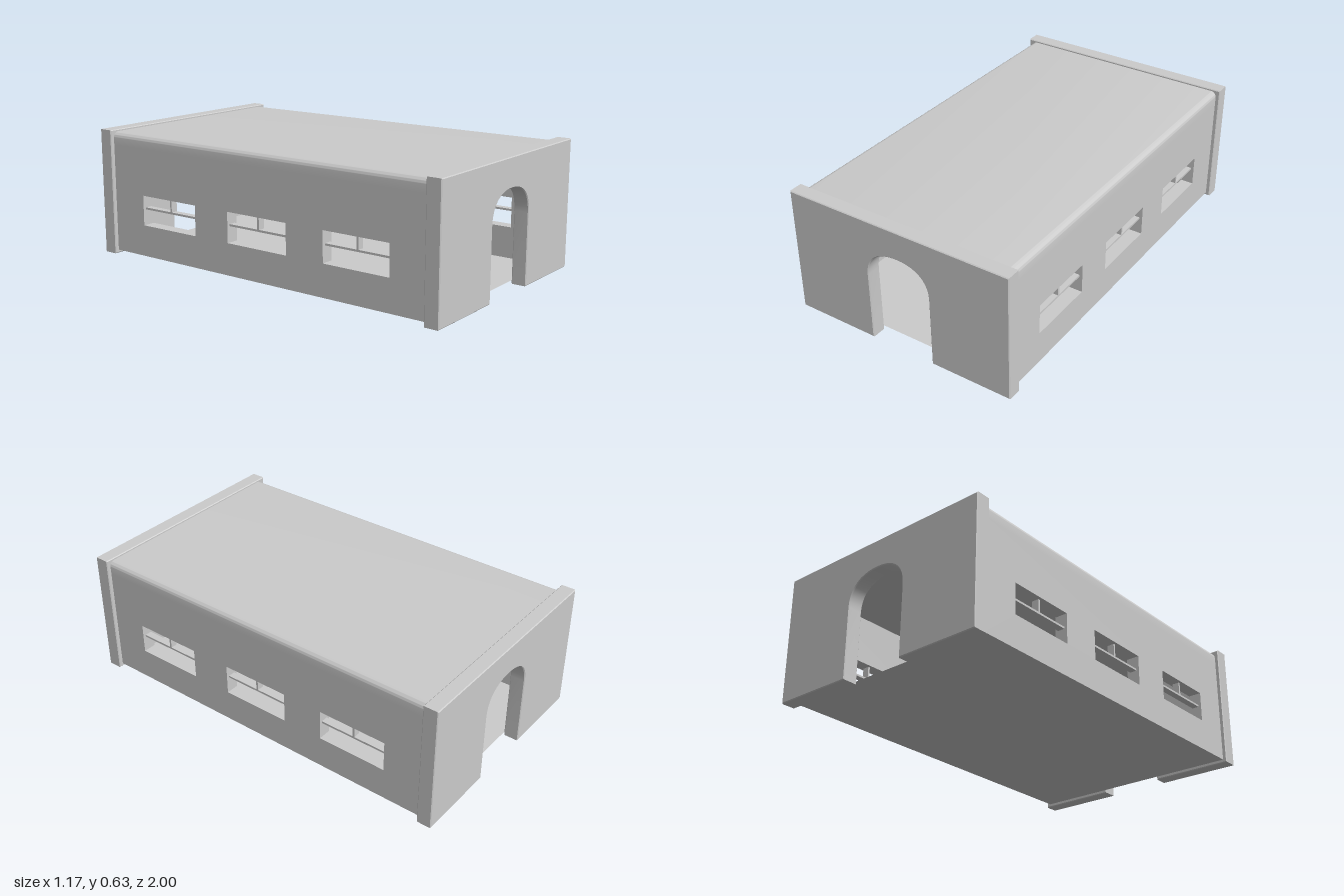
import * as THREE from 'three';
import { toCreasedNormals } from 'three/addons/utils/BufferGeometryUtils.js';

const grey = new THREE.MeshStandardMaterial({ color: 0xcccccc });

// Main sizes
const HALF_W = 0.565, WALL = 0.065, BASE = 0.016, CEILING = 0.56, ROOF = 0.625, HALF_L = 0.926;
const END_W = 0.585, END_H = 0.635, END_T = 0.074;

function part(name, geometry, parent) {
  const mesh = new THREE.Mesh(geometry, grey);
  mesh.name = name;
  parent.add(mesh);
  return mesh;
}

function rectPath(x0, x1, y0, y1, PathType = THREE.Path) {
  const p = new PathType();
  p.moveTo(x0, y0).lineTo(x1, y0).lineTo(x1, y1).lineTo(x0, y1).lineTo(x0, y0);
  return p;
}

// End wall with an arched doorway open at the bottom
function endWallGeometry() {
  const left = -0.16, right = 0.172, mid = 0.006, spring = 0.35, top = 0.493;
  const s = new THREE.Shape();
  s.moveTo(-END_W, 0);
  s.lineTo(left, 0);
  s.lineTo(left, spring);
  s.bezierCurveTo(left, 0.45, -0.09, top, mid, top);
  s.bezierCurveTo(0.102, top, right, 0.45, right, spring);
  s.lineTo(right, 0);
  s.lineTo(END_W, 0);
  s.lineTo(END_W, END_H);
  s.lineTo(-END_W, END_H);
  s.closePath();
  const bevel = 0.004;
  const geo = new THREE.ExtrudeGeometry(s, {
    depth: END_T - 2 * bevel, curveSegments: 10,
    bevelSize: bevel, bevelThickness: bevel, bevelOffset: -bevel, bevelSegments: 1,
  });
  geo.translate(0, 0, bevel);
  return toCreasedNormals(geo, 0.5);
}

// Roof slab with rounded upper long edges
function roofGeometry() {
  const r = 0.03;
  const s = new THREE.Shape();
  s.moveTo(-HALF_W, CEILING);
  s.lineTo(HALF_W, CEILING);
  s.lineTo(HALF_W, ROOF - r);
  s.absarc(HALF_W - r, ROOF - r, r, 0, Math.PI / 2, false);
  s.absarc(-HALF_W + r, ROOF - r, r, Math.PI / 2, Math.PI, false);
  s.closePath();
  const geo = new THREE.ExtrudeGeometry(s, { depth: 2 * HALF_L, bevelEnabled: false, curveSegments: 8 });
  geo.translate(0, 0, -HALF_L);
  return toCreasedNormals(geo, 0.6);
}

const windowCentres = [-0.555, 0.004, 0.565];
const win = { half: 0.176, bottom: 0.174, top: 0.325, rail: 0.258 };

// Side wall drawn along z, then turned to stand lengthwise
function sideWallGeometry() {
  const s = rectPath(-HALF_L, HALF_L, BASE, CEILING, THREE.Shape);
  for (const z of windowCentres) {
    s.holes.push(rectPath(-z - win.half, -z + win.half, win.bottom, win.top));
  }
  const geo = new THREE.ExtrudeGeometry(s, { depth: WALL, bevelEnabled: false });
  geo.translate(0, 0, -WALL / 2);
  geo.rotateY(Math.PI / 2);
  return geo;
}

export function createModel() {
  const model = new THREE.Group();
  model.name = 'archedHall';

  // End walls
  const endGeo = endWallGeometry();
  part('frontWall', endGeo, model).position.z = 1 - END_T;
  part('backWall', endGeo, model).position.z = -1;

  part('roof', roofGeometry(), model);

  // Thin floor sheet
  const floor = part('floor', new THREE.PlaneGeometry(2 * HALF_W, 2 * HALF_L).rotateX(-Math.PI / 2), model);
  floor.position.y = BASE;
  floor.material = new THREE.MeshStandardMaterial({ color: 0xcccccc, side: THREE.DoubleSide });

  // Side walls with window bars
  const wallGeo = sideWallGeometry();
  const railGeo = new THREE.BoxGeometry(0.035, 0.01, 2 * win.half);
  const postGeo = new THREE.BoxGeometry(0.035, win.top - win.rail, 0.01);
  for (const side of [1, -1]) {
    const label = side > 0 ? 'left' : 'right';
    const group = new THREE.Group();
    group.name = label + 'Side';
    group.position.x = side * (HALF_W - WALL / 2);
    part(label + 'Wall', wallGeo, group);
    for (const z of windowCentres) {
      part('windowRail', railGeo, group).position.set(0, win.rail, z);
      part('windowPost', postGeo, group).position.set(0, (win.rail + win.top) / 2, z);
    }
    model.add(group);
  }
  return model;
}
